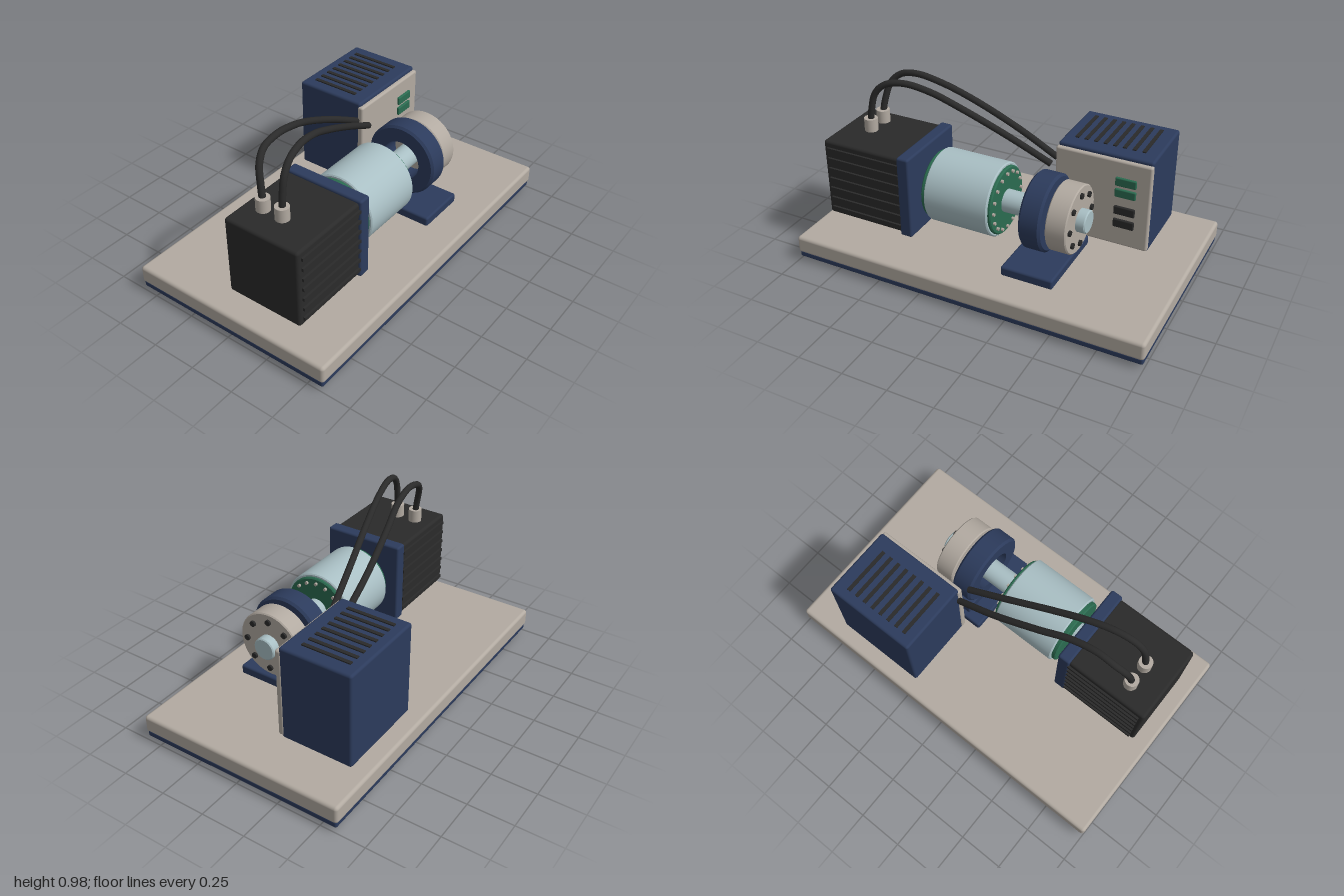
import * as THREE from 'three';
import { RoundedBoxGeometry } from 'three/addons/geometries/RoundedBoxGeometry.js';

const mat = (name, color) => {
  const m = new THREE.MeshStandardMaterial({ color });
  m.name = name;
  return m;
};

export function createModel() {
  const root = new THREE.Group();
  root.name = 'motorTestBench';
  const beige = mat('warmGrey', 0xb2aaa1);
  const navy = mat('navy', 0x2c3b5c);
  const dark = mat('charcoal', 0x2a2a2a);
  const steel = mat('paleSteel', 0xa9bfc4);
  const green = mat('green', 0x2b6b50);

  const AXIS_Y = 0.45, AXIS_Z = 0.175;

  const add = (name, geometry, material, parent = root) => {
    const mesh = new THREE.Mesh(geometry, material);
    mesh.name = name;
    parent.add(mesh);
    return mesh;
  };
  // Box given by its limits on each axis, with rounded edges when r > 0
  const box = (name, material, x0, x1, y0, y1, z0, z1, r = 0) => {
    const s = [x1 - x0, y1 - y0, z1 - z0];
    const g = r ? new RoundedBoxGeometry(...s, 3, r) : new THREE.BoxGeometry(...s);
    const m = add(name, g, material);
    m.position.set((x0 + x1) / 2, (y0 + y1) / 2, (z0 + z1) / 2);
    return m;
  };
  // Solid of revolution around the drive axis, from radius r0 (0 = solid) to r1, with small chamfers
  const turned = (name, material, x0, x1, r1, r0 = 0, c = 0.006) => {
    // separate lathes keep the face edges crisp
    const group = new THREE.Group();
    group.name = name;
    const p = [[r0, x0], [r1 - c, x0], [r1, x0 + c], [r1, x1 - c], [r1 - c, x1], [r0, x1]];
    if (r0) p.push([r0, x0]);
    for (let i = 0; i < p.length - 1; i++) {
      const pts = [new THREE.Vector2(...p[i]), new THREE.Vector2(...p[i + 1])];
      add(name + 'Face', new THREE.LatheGeometry(pts, 48), material, group);
    }
    group.rotation.z = -Math.PI / 2;
    group.position.set(0, AXIS_Y, AXIS_Z);
    root.add(group);
  };
  // Ring of small bolts around the drive axis
  const bolts = (name, material, count, radius, r, x0, x1) => {
    for (let i = 0; i < count; i++) {
      const a = (i / count) * Math.PI * 2;
      const m = add(name, new THREE.CylinderGeometry(r, r, x1 - x0, 14), material);
      m.rotation.z = -Math.PI / 2;
      m.position.set((x0 + x1) / 2, AXIS_Y + radius * Math.sin(a), AXIS_Z + radius * Math.cos(a));
    }
  };

  // Base plate and feet
  box('baseTop', beige, -1, 1, 0.05, 0.15, -0.595, 0.595, 0.018);
  box('baseUnderside', navy, -0.995, 0.995, 0.02, 0.06, -0.588, 0.588, 0.012);
  for (const x of [-0.875, 0.875]) for (const z of [-0.475, 0.475]) {
    const foot = add('foot', new THREE.CylinderGeometry(0.05, 0.05, 0.025, 28), dark);
    foot.position.set(x, 0.0125, z);
  }

  // Motor block with cooling fins on both sides
  box('motorBody', dark, -0.91, -0.44, 0.225, 0.67, -0.047, 0.393, 0.016);
  for (let i = 0; i < 7; i++) {
    const y = 0.265 + i * 0.06;
    box('motorFinFront', dark, -0.885, -0.445, y - 0.009, y + 0.009, 0.38, 0.405);
    box('motorFinBack', dark, -0.885, -0.445, y - 0.009, y + 0.009, -0.059, -0.03);
  }
  box('motorFlange', navy, -0.45, -0.38, 0.215, 0.683, -0.056, 0.406, 0.012);

  // Shaft, coupling drum and its end plates
  turned('shaft', steel, -0.4, 0.53, 0.062);
  turned('drum', steel, -0.315, 0.052, 0.2);
  turned('drumEndPlateInner', green, -0.34, -0.31, 0.185);
  turned('drumEndPlateOuter', green, 0.045, 0.068, 0.185);
  bolts('drumBolt', beige, 16, 0.157, 0.009, 0.06, 0.08);

  // Bearing support
  box('supportFoot', navy, 0.15, 0.44, 0.152, 0.207, -0.06, 0.412, 0.012);
  box('supportNeck', navy, 0.24, 0.345, 0.2, 0.272, -0.03, 0.13, 0.008);
  turned('bearingRing', navy, 0.23, 0.35, 0.207, 0.115, 0.012);

  // Bolted output disc
  turned('outputDisc', beige, 0.368, 0.48, 0.184);
  bolts('discBolt', dark, 8, 0.139, 0.016, 0.47, 0.492);

  // Control cabinet
  box('cabinet', navy, 0.23, 0.755, 0.168, 0.705, -0.51, -0.1, 0.014);
  box('cabinetPanel', beige, 0.225, 0.757, 0.18, 0.685, -0.115, -0.079, 0.012);
  for (let i = 0; i < 8; i++) {
    const x = 0.3 + i * 0.053;
    box('vent', dark, x - 0.01, x + 0.01, 0.703, 0.711, -0.455, -0.18);
  }
  [[0.568, green], [0.502, green], [0.398, dark], [0.32, dark]].forEach(([y, m]) =>
    box('button', m, 0.565, 0.68, y - 0.024, y + 0.024, -0.085, -0.066, 0.006));

  // Cable sockets and cables
  for (const z of [0.175, 0.058]) {
    const s = add('cableSocket', new THREE.CylinderGeometry(0.037, 0.037, 0.08, 24), beige);
    s.position.set(-0.75, 0.702, z);
  }
  const cable = (name, points) => {
    const curve = new THREE.CatmullRomCurve3(points.map(p => new THREE.Vector3(...p)));
    add(name, new THREE.TubeGeometry(curve, 72, 0.018, 14), dark);
    // closed ends
    const ends = [[0, -1], [1, 1]];
    for (const [t, dir] of ends) {
      const cap = add(name + 'End', new THREE.CircleGeometry(0.018, 14), dark);
      cap.position.copy(curve.getPoint(t));
      cap.quaternion.setFromUnitVectors(new THREE.Vector3(0, 0, 1),
        curve.getTangent(t).multiplyScalar(dir));
    }
  };
  cable('frontCable', [[-0.75, 0.72, 0.175], [-0.74, 0.8, 0.173], [-0.715, 0.89, 0.167],
    [-0.66, 0.945, 0.155], [-0.56, 0.965, 0.135], [-0.42, 0.935, 0.105],
    [-0.25, 0.858, 0.067], [0, 0.725, 0.01], [0.22, 0.6, -0.035]]);
  cable('rearCable', [[-0.75, 0.72, 0.058], [-0.74, 0.8, 0.042], [-0.715, 0.89, 0.018],
    [-0.66, 0.945, 0], [-0.56, 0.965, -0.005], [-0.42, 0.935, -0.022],
    [-0.25, 0.858, -0.06], [0, 0.725, -0.1], [0.22, 0.6, -0.115]]);

  return root;
}
